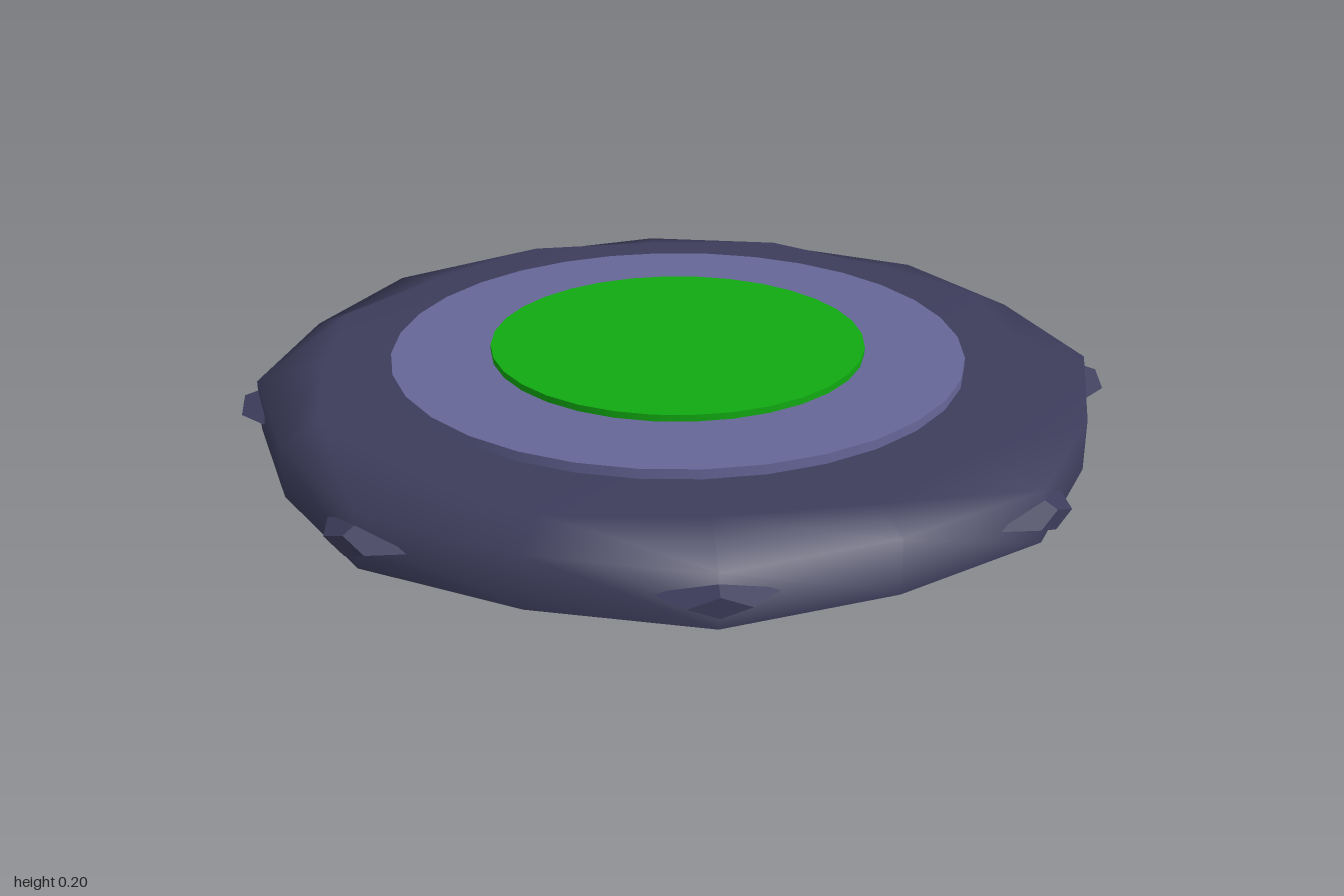
import * as THREE from 'three';
import { mergeVertices } from 'three/addons/utils/BufferGeometryUtils.js';

const dark = new THREE.MeshStandardMaterial({ color: 0x3d3d5c });
const violet = new THREE.MeshStandardMaterial({ color: 0x666699 });
const green = new THREE.MeshStandardMaterial({ color: 0x11aa11 });
const studMaterial = new THREE.MeshStandardMaterial({ color: 0x3d3d5c, flatShading: true });

const SIDES = 16;

function addMesh(parent, name, geometry, material) {
  const mesh = new THREE.Mesh(geometry, material);
  mesh.name = name;
  parent.add(mesh);
  return mesh;
}

// Sixteen-sided turned shell; profile rows are [radius at corners, radius between corners, y]
function shell(rows) {
  const points = rows.map(([r, , y]) => new THREE.Vector2(r, y));
  const geometry = new THREE.LatheGeometry(points, SIDES);
  const pos = geometry.attributes.position;
  for (let i = 0; i < pos.count; i++) {
    const column = Math.floor(i / rows.length);
    const [corner, between] = rows[i % rows.length];
    if (column % 2 === 1 && corner > 0) {
      const k = between / corner;
      pos.setX(i, pos.getX(i) * k);
      pos.setZ(i, pos.getZ(i) * k);
    }
  }
  geometry.deleteAttribute('uv');
  geometry.deleteAttribute('normal');
  const merged = mergeVertices(geometry, 1e-4);
  merged.computeVertexNormals();
  return merged;
}

// Flat disc standing between two heights
function disc(radius, bottom, top, sides) {
  return new THREE.CylinderGeometry(radius, radius, top - bottom, sides)
    .translate(0, (top + bottom) / 2, 0);
}

export function createModel() {
  const model = new THREE.Group();
  model.name = 'floorButton';

  // Base with a bevelled rim, and its flat underside
  addMesh(model, 'base', shell([
    [0.99, 1.02, 0],
    [0.99, 1.02, 0.125],
    [0.9, 0.86, 0.165],
    [0, 0, 0.165],
  ]), dark);
  addMesh(model, 'underside', shell([[0, 0, 0], [0.99, 1.02, 0]]), dark);

  // Raised plate and button on top
  addMesh(model, 'plate', disc(0.695, 0.15, 0.188, 32), violet);
  addMesh(model, 'button', disc(0.455, 0.18, 0.204, 32), green);

  // Blunt diamond studs around the rim
  const stud = new THREE.CylinderGeometry(0.065, 0.125, 0.06, 4)
    .rotateX(Math.PI / 2)
    .scale(1, 0.36, 1)
    .translate(0, 0.066, 1.022);
  const studs = new THREE.Group();
  studs.name = 'studs';
  for (let i = 0; i < 8; i++) {
    addMesh(studs, 'stud', stud, studMaterial).rotation.y = (i + 0.5) * Math.PI / 4;
  }
  model.add(studs);

  return model;
}
